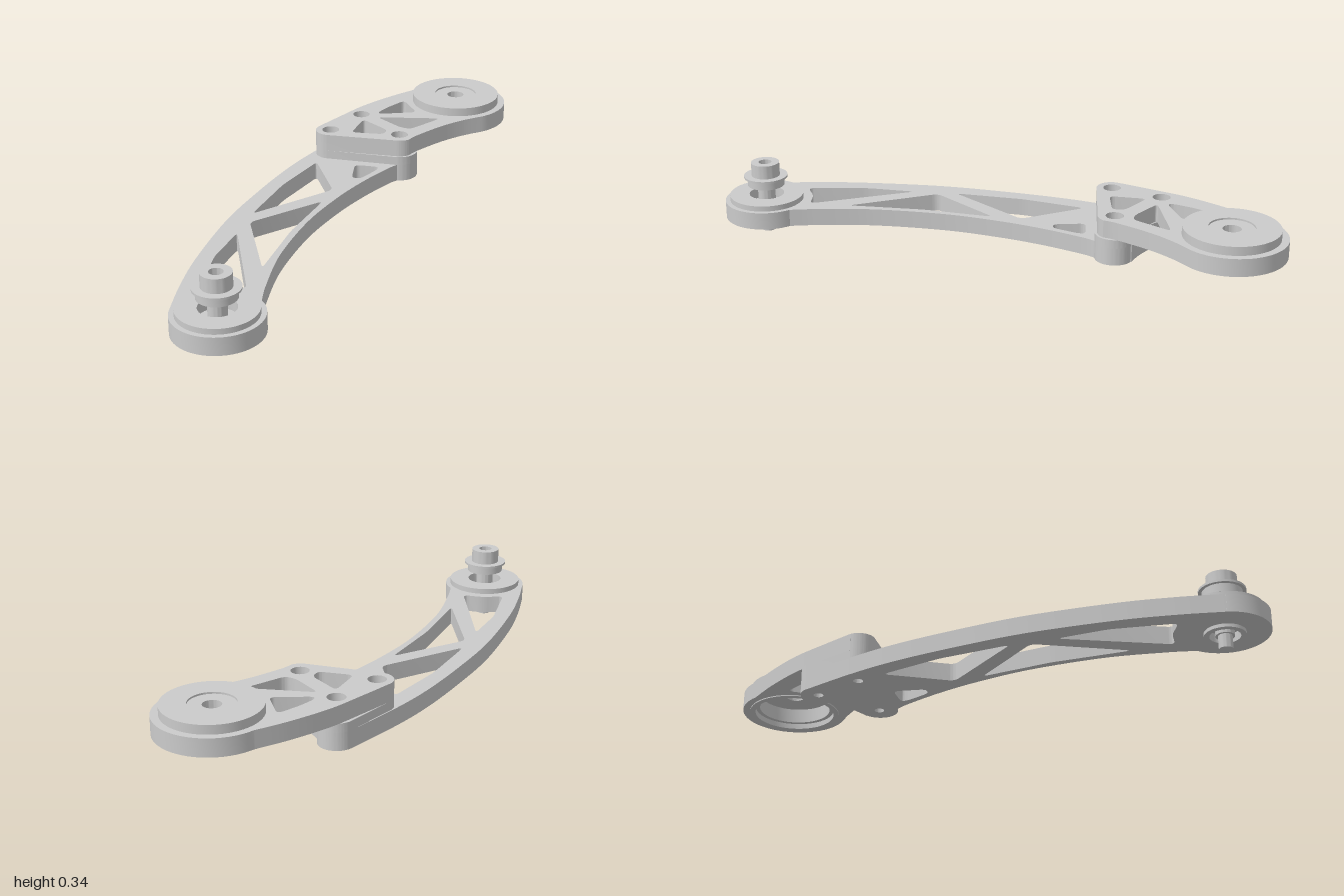
import * as THREE from 'three';
import { toCreasedNormals } from 'three/addons/utils/BufferGeometryUtils.js';

const rad = THREE.MathUtils.degToRad;
const material = new THREE.MeshStandardMaterial({ color: 0xcccccc });

// Plan coordinates are (x, -z); shapes are laid flat and extruded upwards.
const HUB = [-0.795, -0.805];
const DISC = [0.735, 0.76];
const BOLTS = [[0.04, 0.57], [0.335, 0.42], [0.235, 0.715]];

function arc(shape, [x, y], r, from, to, clockwise = false) {
  shape.absarc(x, y, r, rad(from), rad(to), clockwise);
}

function spline(shape, points) {
  shape.splineThru(points.map(([x, y]) => new THREE.Vector2(x, y)));
}

function circleHole([x, y], r) {
  const path = new THREE.Path();
  path.absarc(x, y, r, 0, Math.PI * 2, true);
  return path;
}

// Closed polygon with every corner rounded
function roundedHole(corners, radius = 0.03) {
  const p = corners.map(([x, y]) => new THREE.Vector2(x, y));
  const path = new THREE.Path();
  p.forEach((c, i) => {
    const toward = (q) => c.clone().lerp(q, Math.min(0.45, radius / c.distanceTo(q)));
    const a = toward(p[(i + p.length - 1) % p.length]);
    const b = toward(p[(i + 1) % p.length]);
    if (i === 0) path.moveTo(a.x, a.y);
    else path.lineTo(a.x, a.y);
    path.quadraticCurveTo(c.x, c.y, b.x, b.y);
  });
  path.closePath();
  return path;
}

function plate(name, shape, holes, bottom, top) {
  shape.holes.push(...holes);
  const geo = new THREE.ExtrudeGeometry(shape, { depth: top - bottom, bevelEnabled: false, curveSegments: 16 });
  geo.rotateX(-Math.PI / 2).translate(0, bottom, 0);
  const mesh = new THREE.Mesh(toCreasedNormals(geo, 0.3), material);
  mesh.name = name;
  return mesh;
}

function turned(name, [x, y], profile, segments = 48) {
  const geo = new THREE.LatheGeometry(profile.map(([r, h]) => new THREE.Vector2(r, h)), segments);
  const mesh = new THREE.Mesh(toCreasedNormals(geo, 0.5), material);
  mesh.position.set(x, 0, -y);
  mesh.name = name;
  return mesh;
}

// Mounting end: two bolt lobes joined by a hollow that clears the disc
function mountingEnd(shape, startAngle) {
  arc(shape, BOLTS[1], 0.085, startAngle, 390);
  arc(shape, DISC, 0.437, 222, 188, true);
  arc(shape, BOLTS[2], 0.08, -10, 125);
}

export function createModel() {
  const group = new THREE.Group();
  const boltHoles = (r) => BOLTS.map((b) => circleHole(b, r));

  // Lower curved arm with truss windows
  const lower = new THREE.Shape();
  lower.moveTo(-0.609, -0.758);
  spline(lower, [[-0.562, -0.635], [-0.446, -0.397], [-0.261, -0.132], [-0.077, 0.063], [0.082, 0.2], [0.24, 0.312], [0.3, 0.343]]);
  mountingEnd(lower, 245);
  spline(lower, [[-0.024, 0.614], [-0.198, 0.455], [-0.393, 0.238], [-0.594, -0.016], [-0.79, -0.333], [-0.9, -0.555], [-0.975, -0.739]]);
  arc(lower, HUB, 0.192, 160, 374);
  const lowerWindows = [
    [[-0.055, 0.48], [-0.065, 0.16], [-0.47, 0.02], [-0.27, 0.275]],
    [[-0.5, -0.062], [-0.14, 0.055], [-0.35, -0.195], [-0.545, -0.49]],
    [[-0.575, -0.15], [-0.645, -0.645], [-0.73, -0.6], [-0.83, -0.59], [-0.71, -0.333]],
    [[0.105, 0.4], [0.21, 0.34], [0.18, 0.3], [0.08, 0.24], [0.055, 0.265]],
  ];
  // Keep the small window's lower side close to the arm's inner rail
  lowerWindows[3] = [[0.11, 0.4], [0.21, 0.345], [0.19, 0.315], [0.09, 0.243], [0.055, 0.265]];
  group.add(plate('lowerArm', lower,
    [...lowerWindows.map((w) => roundedHole(w)), circleHole(HUB, 0.088), ...boltHoles(0.022)], 0.075, 0.155));

  // Raised pad between the two arms
  const pad = new THREE.Shape();
  arc(pad, BOLTS[0], 0.07, 135, 239);
  mountingEnd(pad, 239);
  group.add(plate('mountingPad', pad, boltHoles(0.022), 0.155, 0.195));

  // Upper arm carrying the large disc
  const upper = new THREE.Shape();
  arc(upper, BOLTS[0], 0.07, 135, 239);
  arc(upper, BOLTS[1], 0.075, 239, 290);
  spline(upper, [[0.41, 0.386], [0.557, 0.46], [0.68, 0.502], [0.794, 0.524]]);
  arc(upper, DISC, 0.243, -76, 124);
  spline(upper, [[0.45, 0.905], [0.277, 0.82], [0.13, 0.72], [-0.01, 0.62]]);
  const upperWindows = [
    [[0.49, 0.825], [0.5, 0.665], [0.32, 0.695], [0.325, 0.72], [0.4, 0.775]],
    [[0.3, 0.655], [0.585, 0.555], [0.405, 0.47], [0.365, 0.505]],
    [[0.225, 0.645], [0.295, 0.49], [0.265, 0.445], [0.125, 0.51]],
  ];
  group.add(plate('upperArm', upper,
    [...upperWindows.map((w) => roundedHole(w)), circleHole(DISC, 0.2), ...boltHoles(0.04)], 0.195, 0.275));

  // Counterbore seats in the upper arm
  BOLTS.forEach((b) => group.add(turned('boltSeat', b,
    [[0.041, 0.195], [0.041, 0.235], [0.022, 0.235], [0.022, 0.195], [0.041, 0.195]], 24)));

  // Large disc, hollow underneath, with a shallow recess on top
  group.add(turned('jointDisc', DISC, [
    [0.21, 0.19], [0.21, 0.315], [0.1, 0.315], [0.1, 0.307], [0.04, 0.307], [0.04, 0.275],
    [0.1, 0.275], [0.1, 0.283], [0.165, 0.283], [0.165, 0.215], [0.185, 0.215], [0.185, 0.19], [0.21, 0.19],
  ], 64));

  // Hub housing set into the lower arm
  group.add(turned('hubHousing', HUB, [
    [0.088, 0.06], [0.088, 0.155], [0.17, 0.155], [0.17, 0.18], [0.08, 0.18], [0.08, 0.13],
    [0.035, 0.13], [0.035, 0.1], [0.065, 0.1], [0.065, 0.06], [0.088, 0.06],
  ]));

  // Stepped spindle with collar, flange and socketed cap
  group.add(turned('spindle', HUB, [
    [0, 0], [0.03, 0], [0.03, 0.06], [0.04, 0.06], [0.04, 0.225], [0.085, 0.225], [0.085, 0.262],
    [0.1, 0.262], [0.1, 0.272], [0.065, 0.272], [0.065, 0.335], [0.03, 0.335], [0.03, 0.3], [0, 0.3],
  ]));

  return group;
}
